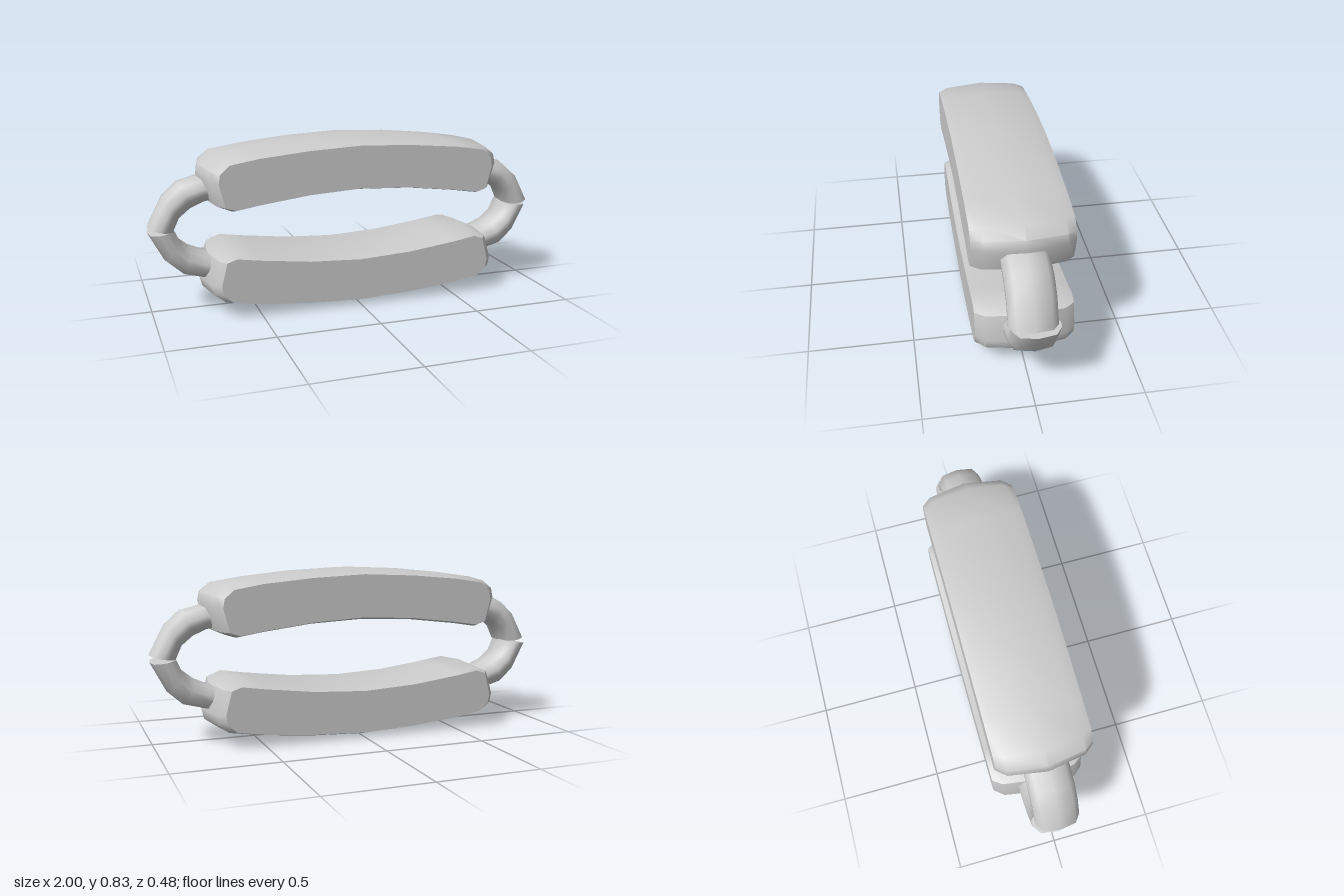
import * as THREE from 'three';
import { toCreasedNormals } from 'three/addons/utils/BufferGeometryUtils.js';

const material = new THREE.MeshStandardMaterial({ color: 0xcccccc });

// Skin a list of equal-length closed loops and cap both ends.
function loft(name, loops, crease) {
  const n = loops[0].length, last = loops.length - 1;
  const position = [], index = [];
  loops.forEach((loop) => loop.forEach((p) => position.push(...p)));
  for (let i = 0; i < last; i++) {
    for (let j = 0; j < n; j++) {
      const a = i * n + j, b = i * n + (j + 1) % n;
      index.push(a, a + n, b, b, a + n, b + n);
    }
  }
  for (const i of [0, last]) {
    const centre = position.length / 3;
    position.push(...[0, 1, 2].map((k) => loops[i].reduce((s, p) => s + p[k], 0) / n));
    for (let j = 0; j < n; j++) {
      const a = i * n + j, b = i * n + (j + 1) % n;
      if (i === 0) index.push(centre, a, b);
      else index.push(centre, b, a);
    }
  }
  const geometry = new THREE.BufferGeometry();
  geometry.setAttribute('position', new THREE.Float32BufferAttribute(position, 3));
  geometry.setIndex(index);
  const mesh = new THREE.Mesh(toCreasedNormals(geometry, crease), material);
  mesh.name = name;
  return mesh;
}

// Right half of the pad outline (top centre round to bottom centre): [x, y]
const widest = [[0, 0.827], [0.26, 0.815], [0.5, 0.79], [0.69, 0.762], [0.75, 0.72],
  [0.762, 0.67], [0.722, 0.548], [0.635, 0.51], [0.5, 0.532], [0.26, 0.561], [0, 0.572]];
const face = [[0, 0.802], [0.26, 0.79], [0.5, 0.768], [0.64, 0.745], [0.685, 0.704],
  [0.692, 0.66], [0.663, 0.548], [0.615, 0.532], [0.5, 0.55], [0.26, 0.58], [0, 0.594]];

// Arched pad: wide at the middle, bevelled toward flat front and back faces
function pad() {
  const sections = [[-0.225, 1], [-0.18, 0.45], [0.006, 0], [0.192, 0.45], [0.238, 1]];
  const loops = sections.map(([z, t]) => {
    const right = widest.map(([x, y], i) => [
      THREE.MathUtils.lerp(x, face[i][0], t), THREE.MathUtils.lerp(y, face[i][1], t), z]);
    const left = right.slice(1, -1).reverse().map(([x, y]) => [-x, y, z]);
    return [...right, ...left];
  });
  return loft('pad', loops, 0.75);
}

// Curved link: outer and inner edges of the bend, [x, y]
const outer = [[0.6, 0.69], [0.745, 0.667], [0.85, 0.64], [0.925, 0.572], [1, 0.43]];
const inner = [[0.6, 0.568], [0.74, 0.543], [0.8, 0.516], [0.853, 0.473], [0.88, 0.412]];
// Cross-section: [position from inner -1 to outer 1, z]
const ring = [[1, 0], [0.8, 0.078], [0.15, 0.107], [-0.3, 0.107],
  [-0.85, 0.078], [-1, 0], [-0.85, -0.078], [-0.3, -0.107], [0.15, -0.107], [0.8, -0.078]];

function link(side) {
  const loops = outer.map(([ox, oy], i) => ring.map(([s, z]) => {
    const t = (s + 1) / 2;
    return [side * THREE.MathUtils.lerp(inner[i][0], ox, t),
      THREE.MathUtils.lerp(inner[i][1], oy, t), 0.007 - side * z];
  }));
  return loft(side > 0 ? 'leftLink' : 'rightLink', loops, 0.9);
}

function half(name) {
  const group = new THREE.Group();
  group.name = name;
  group.add(pad(), link(1), link(-1));
  return group;
}

export function createModel() {
  const model = new THREE.Group();
  model.name = 'linkedPads';
  const upper = half('upperHalf');
  // The lower half is the upper one turned over
  const lower = half('lowerHalf');
  lower.rotation.x = Math.PI;
  lower.position.y = 0.828;
  model.add(upper, lower);
  return model;
}
